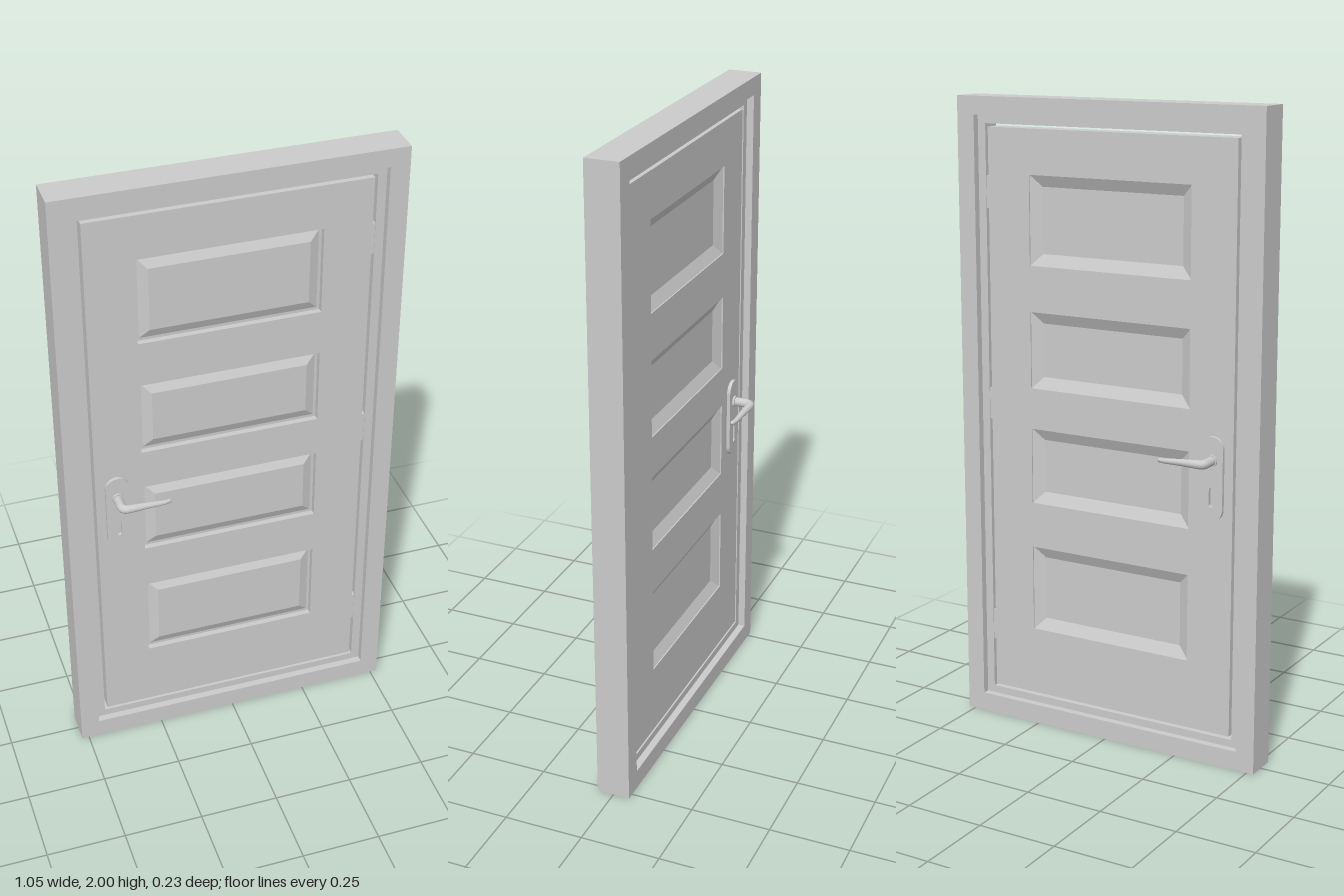
import * as THREE from 'three';

const mat = new THREE.MeshStandardMaterial({ color: 0xcccccc });
const flatMat = new THREE.MeshStandardMaterial({ color: 0xcccccc, flatShading: true });

function add(parent, name, geometry, material = mat) {
  const mesh = new THREE.Mesh(geometry, material);
  mesh.name = name;
  parent.add(mesh);
  return mesh;
}

// Rectangle outline, usable as a shape or as a hole
function rect(Type, x, y0, y1) {
  const p = new Type();
  p.moveTo(-x, y0).lineTo(x, y0).lineTo(x, y1).lineTo(-x, y1).closePath();
  return p;
}

// Upright slot with round ends
function pill(Type, cx, y0, y1, r) {
  const p = new Type();
  p.moveTo(cx + r, y0 + r).lineTo(cx + r, y1 - r);
  p.absarc(cx, y1 - r, r, 0, Math.PI, false);
  p.lineTo(cx - r, y0 + r);
  p.absarc(cx, y0 + r, r, Math.PI, Math.PI * 2, false);
  return p;
}

function slab(shape, z0, z1) {
  const g = new THREE.ExtrudeGeometry(shape, { depth: z1 - z0, bevelEnabled: false, curveSegments: 16 });
  return g.translate(0, 0, z0);
}

// Closed loft through rectangles given as [inset, z], front to back
function panel(x, y0, y1, steps) {
  const rings = steps.map(([d, z]) => [
    [-x + d, y0 + d, z], [x - d, y0 + d, z], [x - d, y1 - d, z], [-x + d, y1 - d, z]]);
  const pos = [];
  const quad = (a, b, c, d) => pos.push(...a, ...b, ...c, ...a, ...c, ...d);
  quad(...rings[0]);
  for (let k = 0; k < rings.length - 1; k++) {
    for (let i = 0; i < 4; i++) {
      const j = (i + 1) % 4;
      quad(rings[k][i], rings[k + 1][i], rings[k + 1][j], rings[k][j]);
    }
  }
  quad(...rings[rings.length - 1].slice().reverse());
  const g = new THREE.BufferGeometry();
  g.setAttribute('position', new THREE.Float32BufferAttribute(pos, 3));
  g.computeVertexNormals();
  return g;
}

// Tube whose radius follows a function of the path position
function taperedTube(path, n, sides, radius) {
  const g = new THREE.TubeGeometry(path, n, 1, sides);
  const p = g.attributes.position;
  const v = new THREE.Vector3();
  for (let i = 0; i <= n; i++) {
    const c = path.getPointAt(i / n);
    for (let j = 0; j <= sides; j++) {
      const k = i * (sides + 1) + j;
      v.fromBufferAttribute(p, k).sub(c).multiplyScalar(radius(i / n)).add(c);
      p.setXYZ(k, v.x, v.y, v.z);
    }
  }
  g.computeVertexNormals();
  return g;
}

const FACE = 0.03; // half thickness of the door leaf

// Plate, keyhole and lever on one side of the door (s = 1 front, -1 back)
function handleSet(s) {
  const group = new THREE.Group();
  group.name = s > 0 ? 'frontHandle' : 'backHandle';
  const cx = -0.361, y = 0.961;

  const plate = pill(THREE.Shape, cx, 0.775, 1.034, 0.037);
  plate.holes.push(pill(THREE.Path, cx, 0.818, 0.877, 0.008));
  add(group, 'handlePlate', slab(plate, s > 0 ? FACE : -FACE - 0.011, s > 0 ? FACE + 0.011 : -FACE));

  const collar = new THREE.CylinderGeometry(0.019, 0.019, 0.006, 24).rotateX(Math.PI / 2);
  add(group, 'handleCollar', collar.translate(cx, y, s * (FACE + 0.014)));

  // Neck comes straight out, turns sharply, then the lever tapers to a bent tip
  const path = new THREE.CatmullRomCurve3([
    [cx - 0.001, y, FACE], [cx - 0.001, y, 0.065], [cx, y, 0.088], [cx + 0.007, y, 0.098],
    [cx + 0.022, y, 0.1], [-0.28, y - 0.002, 0.098], [-0.228, y - 0.005, 0.0955], [-0.207, y - 0.006, 0.089],
  ].map(([a, b, c]) => new THREE.Vector3(a, b, s * c)));
  const n = 48;
  add(group, 'handleLever', taperedTube(path, n, 16,
    u => (u === 1 ? 0.0005 : u < 0.25 ? 0.0145 : 0.0145 - 0.0075 * Math.min(1, (u - 0.25) / 0.7))));
  return group;
}

export function createModel() {
  const model = new THREE.Group();
  model.name = 'door';

  // Frame with a thinner stop around the opening
  const frame = rect(THREE.Shape, 0.523, 0, 2);
  frame.holes.push(rect(THREE.Path, 0.463, 0.061, 1.944));
  add(model, 'frame', slab(frame, -0.0525, 0.0525), flatMat);
  const stop = rect(THREE.Shape, 0.463, 0.061, 1.944);
  stop.holes.push(rect(THREE.Path, 0.436, 0.085, 1.917));
  add(model, 'frameStop', slab(stop, -FACE, FACE), flatMat);

  // Door leaf with four openings, each filled by a panel:
  // raised field in front, sunken bevelled field behind
  const rows = [[0.313, 0.589], [0.735, 0.976], [1.106, 1.347], [1.491, 1.768]];
  const leaf = rect(THREE.Shape, 0.427, 0.094, 1.907);
  for (const [y0, y1] of rows) leaf.holes.push(rect(THREE.Path, 0.279, y0, y1));
  add(model, 'doorLeaf', slab(leaf, -FACE, FACE), flatMat);
  const steps = [[0.038, 0.025], [0.009, 0.012], [0, 0.012], [0, -0.026], [0.036, -0.009]];
  for (const [y0, y1] of rows) add(model, 'panel', panel(0.279, y0, y1, steps), flatMat);

  // Hinges bridging the gap on the left side
  for (const y of [0.3, 1.04, 1.708]) {
    add(model, 'hinge', new THREE.BoxGeometry(0.012, 0.1, 0.056).translate(0.4315, y, 0), flatMat);
  }

  model.add(handleSet(1), handleSet(-1));
  return model;
}
